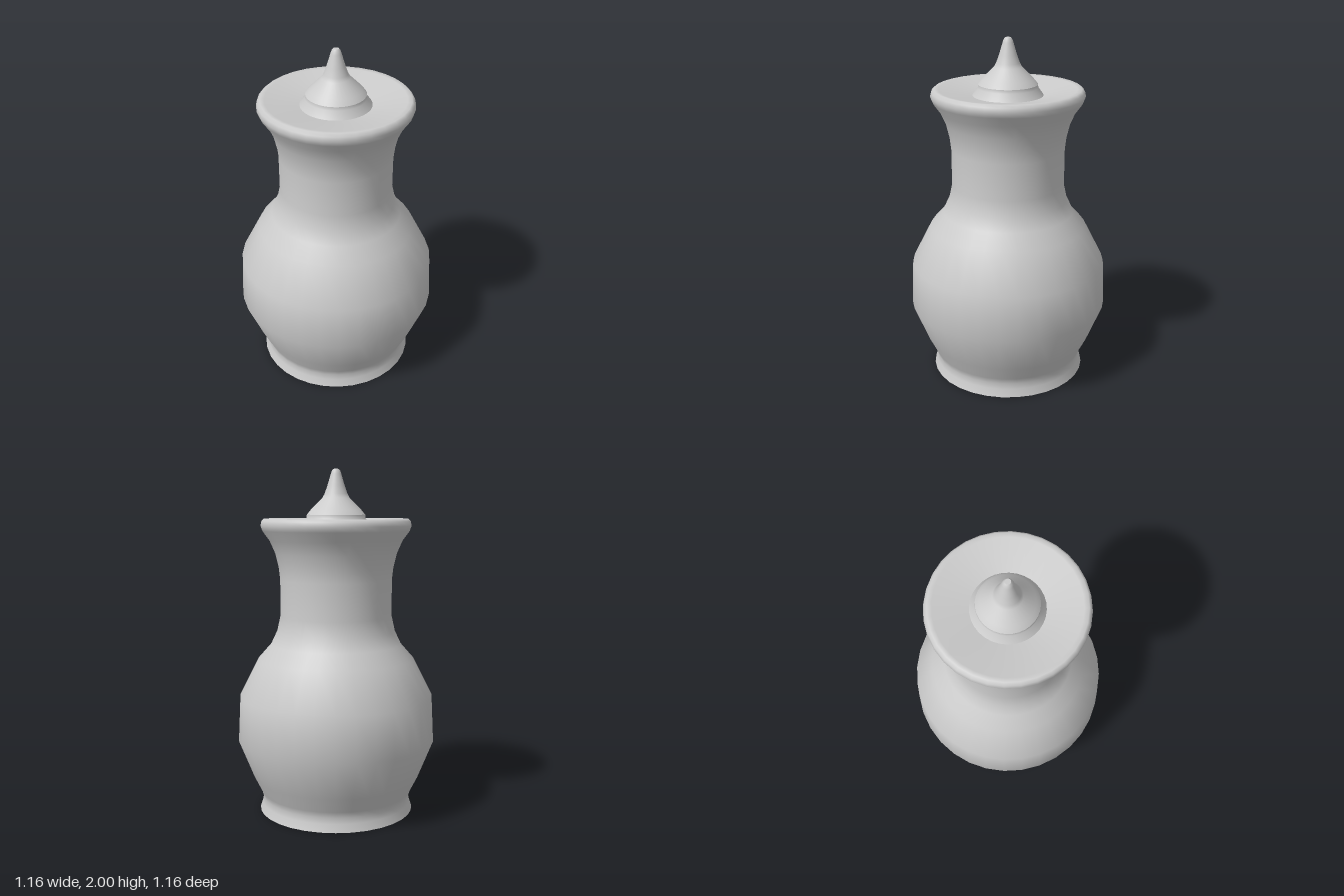
import * as THREE from 'three';

const SIDES = 32;
const material = new THREE.MeshStandardMaterial({ color: 0xcccccc });

// Turns a profile of [radius, height] pairs; each mesh is smooth within itself.
function turned(name, profile) {
  const points = profile.map(([r, y]) => new THREE.Vector2(r, y));
  const mesh = new THREE.Mesh(new THREE.LatheGeometry(points, SIDES), material);
  mesh.name = name;
  return mesh;
}

export function createModel() {
  const model = new THREE.Group();
  model.name = 'liddedJar';

  // Flat underside
  model.add(turned('base', [[0, 0], [0.455, 0]]));

  // Flared foot, round belly, straight neck, rolled rim and the dished top inside it
  model.add(turned('body', [
    [0.455, 0], [0.44, 0.045], [0.435, 0.08], [0.445, 0.115], [0.49, 0.205],
    [0.58, 0.43], [0.567, 0.69], [0.455, 0.91], [0.38, 0.995], [0.345, 1.07],
    [0.325, 1.16], [0.325, 1.37], [0.333, 1.44], [0.352, 1.52], [0.385, 1.595],
    [0.425, 1.65], [0.436, 1.68], [0.43, 1.705], [0.415, 1.72], [0.39, 1.717],
    [0.2, 1.68],
  ]));

  // Sloped collar around the knob
  model.add(turned('knobCollar', [[0.2, 1.68], [0.17, 1.722], [0.168, 1.742]]));

  // Pointed knob
  model.add(turned('knob', [
    [0.168, 1.742], [0.145, 1.77], [0.078, 1.838], [0.066, 1.86], [0.05, 1.905],
    [0.03, 1.972], [0.024, 1.99], [0.016, 2],
  ]));
  model.add(turned('knobTip', [[0.016, 2], [0, 2]]));

  return model;
}
